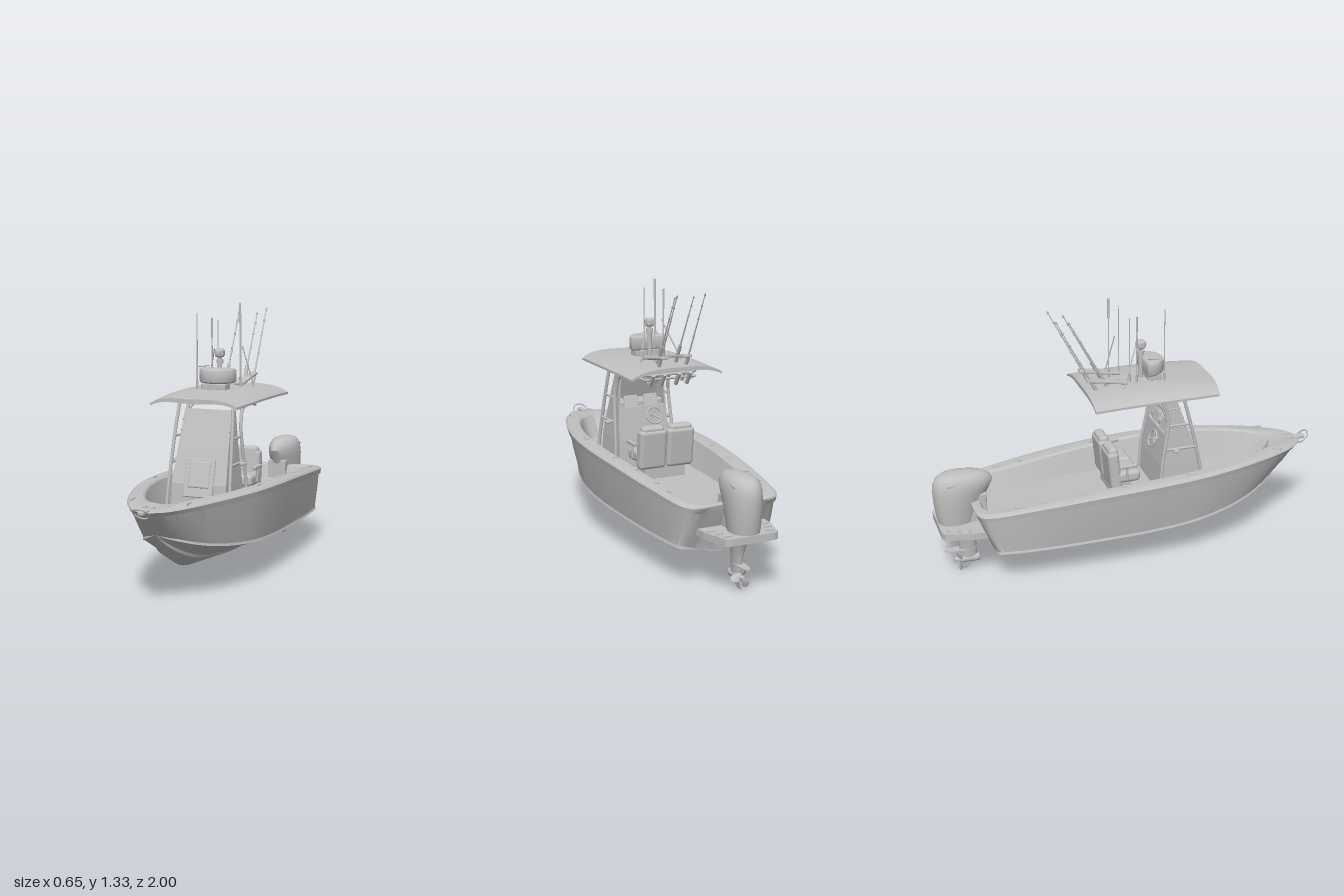
import * as THREE from 'three';
import { toCreasedNormals } from 'three/addons/utils/BufferGeometryUtils.js';
import { RoundedBoxGeometry } from 'three/addons/geometries/RoundedBoxGeometry.js';

const grey = new THREE.MeshStandardMaterial({ color: 0xc0c0c0, side: THREE.DoubleSide });
grey.name = 'pale grey';
const V = (x, y, z) => new THREE.Vector3(x, y, z);

export function createModel() {
  const model = new THREE.Group();
  model.name = 'fishingBoat';

  const add = (name, geo, x = 0, y = 0, z = 0, rx = 0) => {
    const m = new THREE.Mesh(geo, grey);
    m.name = name;
    m.position.set(x, y, z);
    m.rotation.x = rx;
    model.add(m);
    return m;
  };
  const box = (name, w, h, d, x, y, z, rx = 0, r = 0.008) =>
    add(name, new RoundedBoxGeometry(w, h, d, 2, Math.min(r, w / 3, h / 3, d / 3)), x, y, z, rx);
  const tube = (name, pts, r, closed = false) =>
    add(name, new THREE.TubeGeometry(new THREE.CatmullRomCurve3(pts.map(p => V(...p)), closed, 'centripetal'), pts.length * 6, r, 8, closed));
  // straight round bar between two points, optionally tapered
  const bar = (name, a, b, r0, r1 = r0) => {
    const A = V(...a), B = V(...b);
    const m = add(name, new THREE.CylinderGeometry(r1, r0, A.distanceTo(B), 10));
    m.position.copy(A).lerp(B, 0.5);
    m.quaternion.setFromUnitVectors(V(0, 1, 0), B.sub(A).normalize());
  };
  // skin over rows of points
  const loft = (rows, crease = 0.5) => {
    const n = rows[0].length, idx = [];
    for (let i = 0; i < rows.length - 1; i++)
      for (let j = 0; j < n - 1; j++) {
        const a = i * n + j;
        idx.push(a, a + 1, a + n, a + 1, a + n + 1, a + n);
      }
    const g = new THREE.BufferGeometry().setFromPoints(rows.flat());
    g.setIndex(idx);
    return toCreasedNormals(g, crease);
  };
  // stacked oval sections [y, zFront, zBack, halfWidth], pinched towards the front
  const ovals = (secs, pinch = 0) => {
    const ring = ([y, f, b, w]) => Array.from({ length: 41 }, (_, i) => {
      const t = i / 40 * Math.PI * 2, s = -Math.sin(t);
      return V(w * Math.cos(t) * (1 - pinch * s), y, (f + b) / 2 + (f - b) / 2 * s);
    });
    const cap = ([y, f, b]) => ring([y, (f + b) / 2, (f + b) / 2, 0]);
    return loft([cap(secs[0]), ...secs.map(ring), cap(secs[secs.length - 1])], 0.7);
  };
  // tapered block: bottom and top given as [halfWidth, zBack, zFront, y, xShift]
  const taper = (name, b, t) => {
    const g = new THREE.BoxGeometry(2, 2, 2), p = g.attributes.position;
    for (let i = 0; i < p.count; i++) {
      const e = p.getY(i) < 0 ? b : t;
      p.setXYZ(i, p.getX(i) * e[0] + (e[4] || 0), e[3], p.getZ(i) < 0 ? e[1] : e[2]);
    }
    g.computeVertexNormals();
    return add(name, g);
  };

  // Hull: rails from the stern centre to the bow, skinned across
  const rail = pts => new THREE.CatmullRomCurve3(pts.map(p => V(...p)), false, 'centripetal');
  const keel = rail([[0, .14, -.73], [0, .14, -.728], [0, .138, -.70], [0, .125, -.5], [0, .11, -.2], [0, .10, .05], [0, .10, .3], [0, .13, .54], [0, .19, .67], [0, .265, .765], [0, .335, .83]]);
  const chine = rail([[0, .14, -.73], [.215, .178, -.73], [.23, .18, -.70], [.25, .18, -.5], [.262, .185, -.2], [.265, .192, .05], [.25, .208, .3], [.19, .236, .53], [.125, .267, .67], [.06, .302, .77], [0, .335, .83]]);
  const sheer = rail([[0, .395, -.82], [.19, .395, -.82], [.235, .40, -.78], [.28, .425, -.55], [.312, .455, -.2], [.318, .47, .1], [.293, .475, .35], [.228, .475, .6], [.145, .47, .8], [.07, .465, .91], [0, .46, .955]]);
  const coaming = rail([[0, .395, -.775], [.15, .395, -.775], [.182, .40, -.74], [.207, .42, -.53], [.235, .45, -.2], [.245, .468, .1], [.233, .475, .3], [.19, .475, .5], [.137, .475, .64], [.078, .47, .735], [0, .47, .78]]);
  const floor = rail([[0, .33, -.75], [.125, .33, -.75], [.15, .33, -.72], [.172, .332, -.5], [.2, .335, -.2], [.205, .34, .1], [.195, .345, .3], [.158, .35, .48], [.112, .355, .6], [.063, .357, .675], [0, .36, .71]]);
  const hullRows = [];
  for (let i = 0; i <= 90; i++) {
    const s = i / 90, [k, c, h, o, f] = [keel, chine, sheer, coaming, floor].map(r => r.getPoint(s));
    const e = Math.min(1, s * 12, (1 - s) * 8);
    const out = (p, d, y) => V(p.x + d * e, p.y + y * e, p.z);
    const mix = (a, b, t) => a.clone().lerp(b, t);
    const half = [
      out(mix(k, c, .47), 0, -.006), out(mix(k, c, .5), 0, .006), c, out(c, .012, .002), out(c, .008, .014),
      out(mix(c, h, .5), .005, 0), out(mix(c, h, .86), 0, 0), out(mix(c, h, .87), .009, 0), out(h, .008, -.006),
      out(h, 0, .002), out(mix(h, o, .2), 0, .008), out(mix(h, o, .85), 0, .008), o,
      mix(o, f, .12), mix(o, f, .9), f, V(0, f.y, f.z)];
    hullRows.push([...half.map(p => V(-p.x, p.y, p.z)).reverse(), k, ...half]);
  }
  add('hull', loft(hullRows, 0.4));

  // Bow ring, hatches and deck cleats
  add('bowRing', new THREE.TorusGeometry(.038, .004, 8, 32), 0, .46, .969, .8);
  box('bowRoller', .03, .02, .07, 0, .462, .945);
  for (const s of [-1, 1]) {
    add('bowHatch', new THREE.CylinderGeometry(.011, .011, .004, 20).scale(1, 1, 2), s * .02, .476, .89);
    for (const [x, y, z] of [[.14, .48, .77], [.275, .482, .25], [.235, .423, -.62]])
      box('cleat', .01, .012, .045, s * x, y, z);
    for (const z of [-.1, -.3, -.5])
      add('gunwaleRodHolder', new THREE.CylinderGeometry(.012, .012, .006, 16), s * (.275 + z * .07), .475 + z * .08, z);
  }

  // Centre console with windshield, dash, hatch and wheel
  taper('consoleBase', [.145, .12, .343, .335], [.142, .13, .335, .48]);
  taper('consoleBody', [.142, .13, .335, .48], [.133, .155, .282, .645]);
  taper('windshield', [.133, .274, .282, .645], [.124, .212, .22, .815]);
  taper('windshieldTop', [.124, .212, .22, .815], [.114, .207, .215, .83]);
  for (const s of [-1, 1]) {
    taper('sideWindow', [.004, .155, .28, .645, s * .129], [.004, .165, .218, .825, s * .119]);
    for (const y of [.68, .73, .78])
      box('sideSlat', .01, .006, .07, s * (.131 - (y - .645) * .054), y, .24 - (y - .645) * .25);
    box('dashScreen', .075, .075, .012, s * .055, .665, .175, .3);
  }
  box('dash', .24, .05, .09, 0, .65, .215);
  box('hatchFrame', .15, .19, .014, 0, .51, .325, -.31);
  box('hatchPanel', .11, .13, .022, 0, .525, .322, -.31);
  add('steeringWheel', new THREE.TorusGeometry(.042, .005, 8, 28), -.05, .60, .118, .4);
  for (let i = 0; i < 3; i++) {
    const a = i * Math.PI * 2 / 3;
    bar('wheelSpoke', [-.05, .597, .125], [-.05 + .042 * Math.sin(a), .60 + .039 * Math.cos(a), .118 + .016 * Math.cos(a)], .004);
  }
  bar('steeringColumn', [-.05, .60, .118], [-.05, .59, .165], .009);

  // Helm seats on a leaning post
  box('seatBase', .22, .1, .1, 0, .38, -.06);
  for (const s of [-1, 1]) {
    box('seatCushion', .145, .06, .14, s * .076, .45, -.045, 0, .022);
    box('seatBack', .145, .2, .058, s * .076, .49, -.108, -.1, .024);
    box('headBolster', .12, .06, .05, s * .076, .578, -.112, -.1, .022);
    box('armrest', .02, .018, .09, s * .155, .515, -.045);
    bar('armrestPost', [s * .153, .44, -.05], [s * .155, .515, -.05], .007);
  }

  // Hardtop: flat-crowned panel with drooping sides, narrowing towards the front
  const top = new THREE.BoxGeometry(.49, .022, .66, 32, 1, 20), tp = top.attributes.position;
  for (let i = 0; i < tp.count; i++) {
    const x = tp.getX(i), z = tp.getZ(i), u = Math.abs(x) / .245, v = z / .33;
    const droop = .034 * u ** 4 + .019 * Math.max(0, v) ** 2 * (1 - .5 * u) + .006 * v * v * (v < 0);
    tp.setXYZ(i, x * (v > 0 ? 1 - .09 * v * v : 1), tp.getY(i) * (1 - .5 * u * u) - droop, z - .02 * u * u * Math.max(0, v));
  }
  add('hardtop', toCreasedNormals(top, .6), 0, .91, .093);

  // Tube frame carrying the hardtop
  for (const s of [-1, 1]) {
    tube('frontPole', [[s * .166, .34, .352], [s * .16, .48, .33], [s * .148, .75, .27], [s * .138, .885, .235]], .009);
    tube('rearPole', [[s * .166, .34, .122], [s * .162, .48, .13], [s * .15, .73, .165], [s * .145, .81, .145], [s * .138, .89, .1]], .009);
    tube('roofBrace', [[s * .148, .72, .165], [s * .14, .82, .12], [s * .13, .845, 0], [s * .12, .84, -.16]], .007);
    bar('poleRung', [s * .158, .575, .31], [s * .157, .575, .14], .007);
    bar('poleRung', [s * .150, .70, .28], [s * .151, .70, .16], .006);
    box('grabFitting', .03, .014, .03, s * .175, .572, .2);
    for (const z of [.08, -.06, -.15]) bar('roofStay', [s * .125, .845, z], [s * .135, .9, z], .006);
    for (const x of [.04, .1]) bar('hangingRodHolder', [s * x, .815, -.14], [s * x, .875, -.18], .011);
  }
  tube('roofLoop', [[-.135, .873, .24], [.135, .873, .24], [.15, .873, .2], [.15, .873, -.13], [.13, .873, -.16], [-.13, .873, -.16], [-.15, .873, -.13], [-.15, .873, .2]], .007, true);
  for (const z of [.14, -.02, -.16]) bar('roofCrossbar', [-.14, .85, z], [.14, .85, z], .006);

  // Radar, camera and light mast
  const dome = new THREE.Shape();
  dome.absellipse(0, 0, .078, .078, 0, Math.PI);
  const domeGeo = new THREE.ExtrudeGeometry(dome, { depth: .045, bevelSize: .014, bevelThickness: .014, bevelSegments: 5, curveSegments: 24 }).rotateX(Math.PI / 2);
  add('radarDome', toCreasedNormals(domeGeo, .6), 0, 1.008, .092);
  box('radarFoot', .13, .035, .07, 0, .933, .125);
  bar('cameraMast', [0, .91, .07], [0, 1.07, .07], .013, .01);
  add('cameraCollar', new THREE.CylinderGeometry(.018, .018, .02, 20), 0, 1.05, .07);
  box('cameraHead', .044, .044, .044, 0, 1.092, .07, 0, .014);
  box('cameraLens', .028, .02, .012, 0, 1.095, .092);

  // Aerials: [x, z, top, tip radius]
  for (const [x, z, y, r] of [[-.08, .165, 1.29, .002], [-.058, .03, 1.26, .005], [-.04, 0, 1.25, .002], [.046, -.08, 1.33, .006], [.075, -.02, 1.28, .002]]) {
    bar('aerialBase', [x, .90, z], [x, .96, z], .006);
    bar('aerial', [x, .94, z], [x, y, z], .003, .0025);
    if (r > .003) bar('aerialTip', [x, y - .1, z], [x, y, z], r);
  }
  bar('aerialBracket', [-.08, 1.03, .165], [-.05, 1.03, .09], .003);
  bar('aerialStay', [-.12, .90, -.06], [-.045, 1.11, .03], .003);
  bar('aerialStay', [.125, .90, -.08], [.075, 1.12, -.04], .003);

  // Fishing rods in roof holders
  for (const s of [-1, 1]) {
    box('rodRack', .045, .014, .21, s * .062, .948, -.125, .17);
    for (const [x, a, b] of [[.05, [.90, -.11], [1.27, -.31]], [.074, [.83, -.14], [1.29, -.38]]]) {
      const at = t => [s * x, a[0] + (b[0] - a[0]) * t, a[1] + (b[1] - a[1]) * t];
      bar('rodHolder', at(0), at(.3), .009);
      bar('rod', at(.2), at(1), .0045, .002);
      for (const t of [.5, .7, .85, .97]) bar('rodGuide', at(t), at(t + .02), .005);
    }
  }

  // Engine bracket platform
  const plate = new THREE.Shape([[-.175, .74], [.175, .74], [.172, .84], [.135, .975], [.11, .985], [-.11, .985], [-.135, .975], [-.172, .84]].map(p => new THREE.Vector2(...p)));
  add('enginePlatform', new THREE.ExtrudeGeometry(plate, { depth: .035, bevelEnabled: false }).rotateX(-Math.PI / 2), 0, .25, 0);
  for (const s of [-1, 1]) for (const z of [-.85, -.9, -.95])
    box('platformStep', .035, .012, .012, s * (.125 + (z + .9) * .3), .288, z);

  // Outboard engine
  box('engineMount', .1, .16, .1, 0, .35, -.79);
  add('engineCowling', ovals([[.25, -.79, -.975, .064], [.31, -.78, -.985, .07], [.38, -.755, -.995, .075], [.45, -.717, -1, .078], [.485, -.70, -.997, .076], [.515, -.712, -.985, .069], [.535, -.745, -.96, .054], [.545, -.81, -.92, .028]], .2));
  for (const s of [-1, 1]) box('cowlingVent', .01, .014, .07, s * .066, .505, -.9, -.12);
  add('engineLeg', ovals([[.25, -.78, -.925, .045], [.21, -.785, -.905, .034], [.15, -.795, -.885, .022], [.06, -.795, -.875, .017]]));
  add('splashPlate', ovals([[.112, -.79, -.955, .024], [.118, -.79, -.955, .024]]));
  add('gearcase', new THREE.CapsuleGeometry(.021, .07, 6, 16).rotateX(Math.PI / 2), 0, .058, -.83);
  taper('skeg', [.003, -.885, -.85, 0], [.009, -.88, -.80, .05]);
  for (let i = 0; i < 3; i++) {
    const blade = add('propellerBlade', new THREE.SphereGeometry(1, 16, 10).scale(.02, .026, .004).rotateY(.6).translate(0, .03, 0), 0, .058, -.885);
    blade.rotation.z = i * Math.PI * 2 / 3 + .5;
  }
  add('propellerHub', new THREE.CylinderGeometry(.016, .01, .04, 16).rotateX(Math.PI / 2), 0, .058, -.89);
  return model;
}
